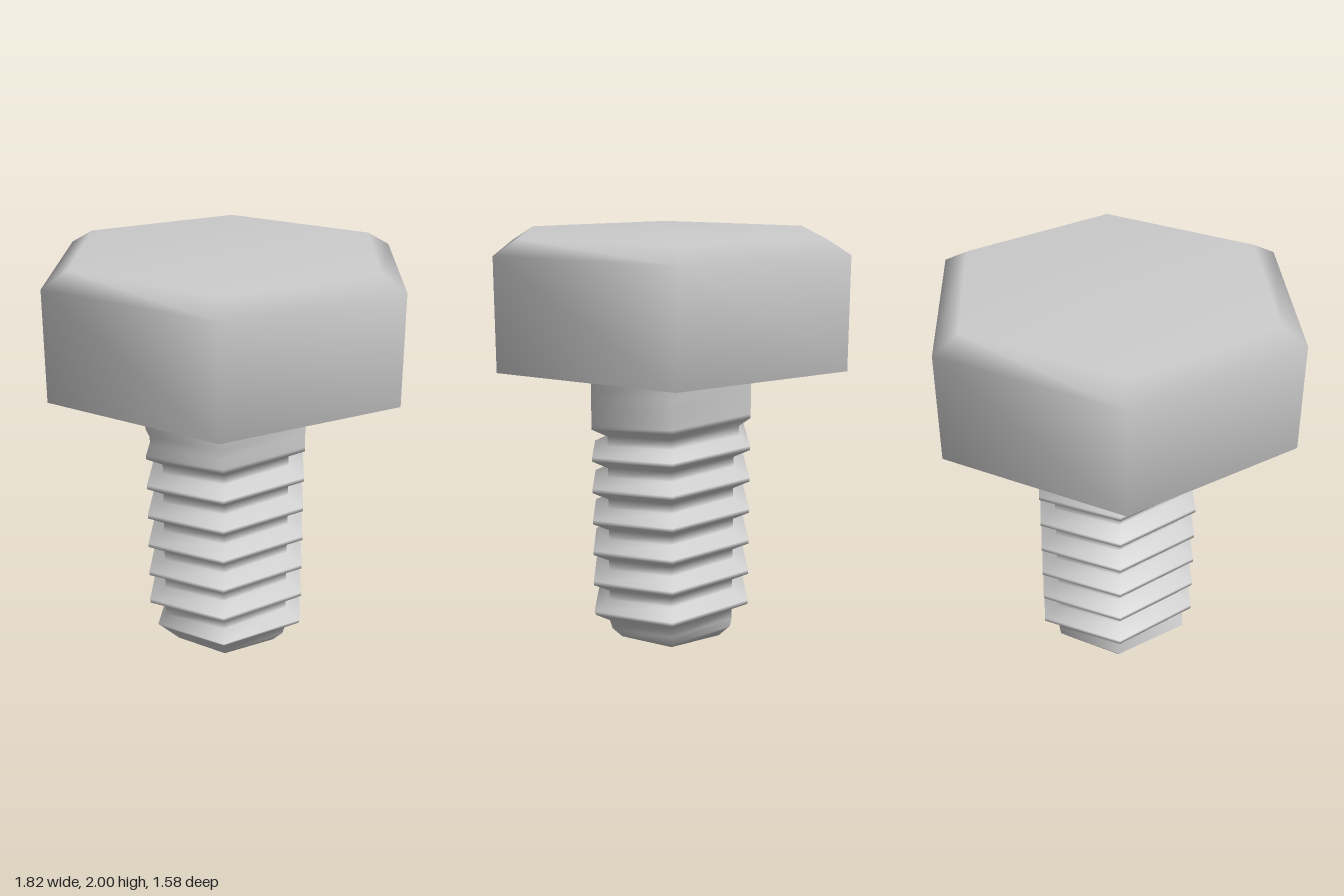
import * as THREE from 'three';
import { mergeVertices } from 'three/addons/utils/BufferGeometryUtils.js';

const SIDES = 6;
const PITCH = 0.157;
const CREST = 0.436; // outer thread and plain shank radius
const ROOT = 0.35;
const TOP = 1.405;

// Vertical outline of one shank corner; each corner climbs by a sixth of the pitch.
function cornerProfile(j) {
  const points = [[0, 0], [0.28, 0]];
  for (let k = -2; k <= 6; k++) {
    const crestY = 0.0785 + PITCH * (k + j / SIDES);
    // the groove runs out into the plain shank
    const fade = THREE.MathUtils.clamp((1.155 - crestY - PITCH / 2) / 0.12, 0, 1);
    const root = CREST - (CREST - ROOT) * fade;
    for (const [dy, r] of [[0.01, CREST], [0.055, root], [0.102, root], [0.147, CREST]]) {
      const y = Math.max(0, crestY + dy);
      points.push([Math.min(r, 0.28 + y), y]); // tapered tip
    }
  }
  points.push([CREST, TOP]);
  return points;
}

function threadedShank() {
  const positions = [];
  const indices = [];
  let rows = 0;
  for (let j = 0; j <= SIDES; j++) {
    const a = Math.PI - (j % SIDES) * Math.PI * 2 / SIDES;
    const profile = cornerProfile(j);
    rows = profile.length;
    for (const [r, y] of profile) positions.push(r * Math.cos(a), y, r * Math.sin(a));
  }
  for (let j = 0; j < SIDES; j++) {
    for (let i = 0; i < rows - 1; i++) {
      const a = j * rows + i;
      const b = a + rows;
      indices.push(a, b, b + 1, a, b + 1, a + 1);
    }
  }
  const geometry = new THREE.BufferGeometry();
  geometry.setAttribute('position', new THREE.Float32BufferAttribute(positions, 3));
  geometry.setIndex(indices);
  const merged = mergeVertices(geometry, 1e-4);
  merged.computeVertexNormals();
  return merged;
}

export function createModel() {
  const group = new THREE.Group();
  group.name = 'hexBolt';
  const material = new THREE.MeshStandardMaterial({ color: 0xcccccc });

  // Hexagonal head with chamfered top and a shallow bearing face below
  const outline = [
    [0, 1.4], [0.785, 1.4], [0.785, 1.41], [0.91, 1.41],
    [0.91, 1.93], [0.785, 2], [0, 2],
  ].map(([r, y]) => new THREE.Vector2(r, y));
  const head = new THREE.Mesh(new THREE.LatheGeometry(outline, SIDES, Math.PI / 2), material);
  head.name = 'head';

  // Six-sided shank with a right-hand thread
  const shank = new THREE.Mesh(threadedShank(), material);
  shank.name = 'threadedShank';

  group.add(head, shank);
  return group;
}
